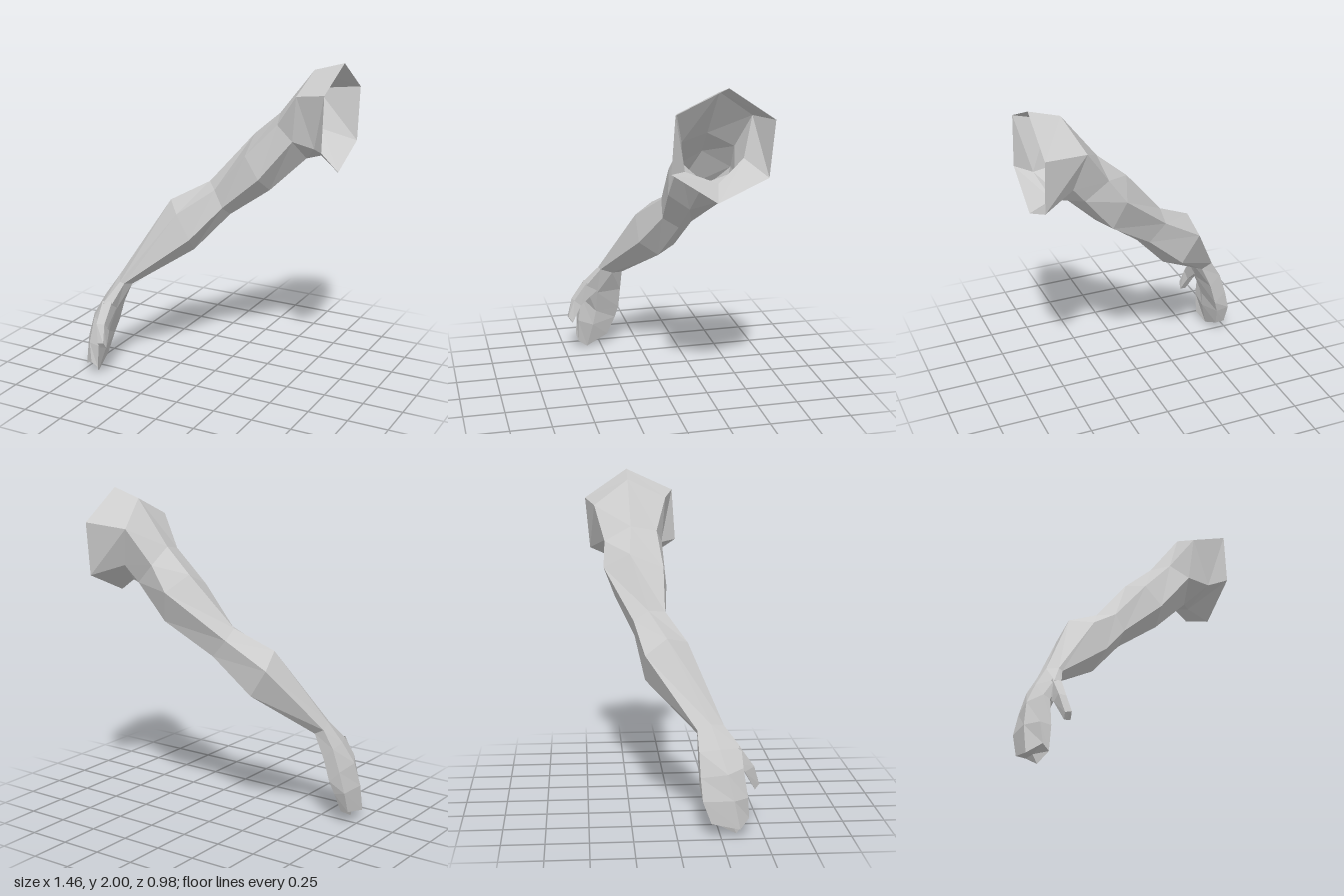
import * as THREE from 'three';

// Skin a list of cross-section rings (each a list of [x, y, z]) with quads.
function loft(name, rings, capped) {
  const pos = [];
  const tri = (a, b, c) => pos.push(...a, ...b, ...c);
  const n = rings[0].length;
  for (let i = 0; i < rings.length - 1; i++) {
    for (let j = 0; j < n; j++) {
      const k = (j + 1) % n;
      const a = rings[i][j], b = rings[i + 1][j], c = rings[i + 1][k], d = rings[i][k];
      tri(a, b, c);
      tri(a, c, d);
    }
  }
  if (capped) {
    const end = rings[rings.length - 1];
    const mid = [0, 1, 2].map((q) => end.reduce((s, p) => s + p[q], 0) / n);
    for (let j = 0; j < n; j++) tri(mid, end[(j + 1) % n], end[j]);
  }
  const geo = new THREE.BufferGeometry();
  geo.setAttribute('position', new THREE.Float32BufferAttribute(pos, 3));
  geo.computeVertexNormals();
  const mat = new THREE.MeshStandardMaterial({ color: 0xcccccc, flatShading: true, side: THREE.DoubleSide });
  const mesh = new THREE.Mesh(geo, mat);
  mesh.name = name;
  return mesh;
}

export function createModel() {
  const group = new THREE.Group();
  group.name = 'arm';

  // Ring order: top, front upper, front lower, bottom, back lower, back upper
  const wrist = [[-0.56, 0.63, 0.205], [-0.515, 0.61, 0.285], [-0.49, 0.6, 0.275],
    [-0.48, 0.575, 0.2], [-0.515, 0.565, 0.13], [-0.58, 0.6, 0.125]];

  const upperArm = [
    // open shoulder rim
    [[0.725, 2, -0.22], [0.725, 1.865, 0.075], [0.725, 1.54, 0.097],
      [0.725, 1.36, -0.17], [0.725, 1.49, -0.46], [0.725, 1.815, -0.49]],
    // shoulder and armpit
    [[0.54, 1.945, -0.22], [0.53, 1.83, 0.02], [0.64, 1.53, 0.0],
      [0.6, 1.44, -0.205], [0.53, 1.56, -0.37], [0.465, 1.79, -0.435]],
    [[0.33, 1.67, -0.21], [0.385, 1.635, -0.045], [0.5, 1.555, -0.005],
      [0.535, 1.43, -0.14], [0.45, 1.46, -0.34], [0.32, 1.58, -0.375]],
    // biceps
    [[0.155, 1.52, -0.225], [0.19, 1.43, -0.015], [0.29, 1.3, 0.01],
      [0.31, 1.21, -0.115], [0.275, 1.24, -0.315], [0.215, 1.43, -0.385]],
  ];
  const elbow = [[-0.1, 1.21, -0.125], [-0.015, 1.19, -0.02], [0.04, 1.085, -0.015],
    [0.045, 1.02, -0.115], [0, 1.04, -0.205], [-0.1, 1.15, -0.215]];
  const forearm = [[-0.325, 1.085, -0.03], [-0.215, 1.04, 0.1], [-0.13, 0.885, 0.095],
    [-0.165, 0.782, -0.035], [-0.24, 0.82, -0.155], [-0.35, 0.99, -0.16]];
  group.add(loft('armSleeve', [...upperArm, elbow, forearm, wrist], false));

  // Palm and joined fingers
  group.add(loft('hand', [
    wrist,
    [[-0.64, 0.5, 0.25], [-0.58, 0.49, 0.38], [-0.535, 0.47, 0.37],
      [-0.545, 0.42, 0.29], [-0.58, 0.42, 0.13], [-0.645, 0.49, 0.13]],
    [[-0.705, 0.37, 0.29], [-0.645, 0.39, 0.385], [-0.605, 0.37, 0.385],
      [-0.6, 0.27, 0.29], [-0.62, 0.28, 0.135], [-0.69, 0.35, 0.135]],
    [[-0.73, 0.22, 0.325], [-0.67, 0.22, 0.41], [-0.605, 0.21, 0.41],
      [-0.61, 0.17, 0.31], [-0.645, 0.2, 0.155], [-0.722, 0.22, 0.145]],
    [[-0.728, 0.05, 0.36], [-0.655, 0.095, 0.42], [-0.615, 0.06, 0.41],
      [-0.655, 0.002, 0.345], [-0.665, 0.075, 0.205], [-0.72, 0.085, 0.195]],
  ], true));

  // Thumb
  group.add(loft('thumb', [
    [[-0.59, 0.5, 0.37], [-0.53, 0.5, 0.36], [-0.54, 0.44, 0.29], [-0.6, 0.42, 0.29]],
    [[-0.585, 0.38, 0.455], [-0.535, 0.38, 0.445], [-0.54, 0.34, 0.4], [-0.59, 0.35, 0.4]],
    [[-0.56, 0.265, 0.488], [-0.52, 0.275, 0.488], [-0.515, 0.235, 0.46], [-0.555, 0.23, 0.465]],
  ], true));

  return group;
}
